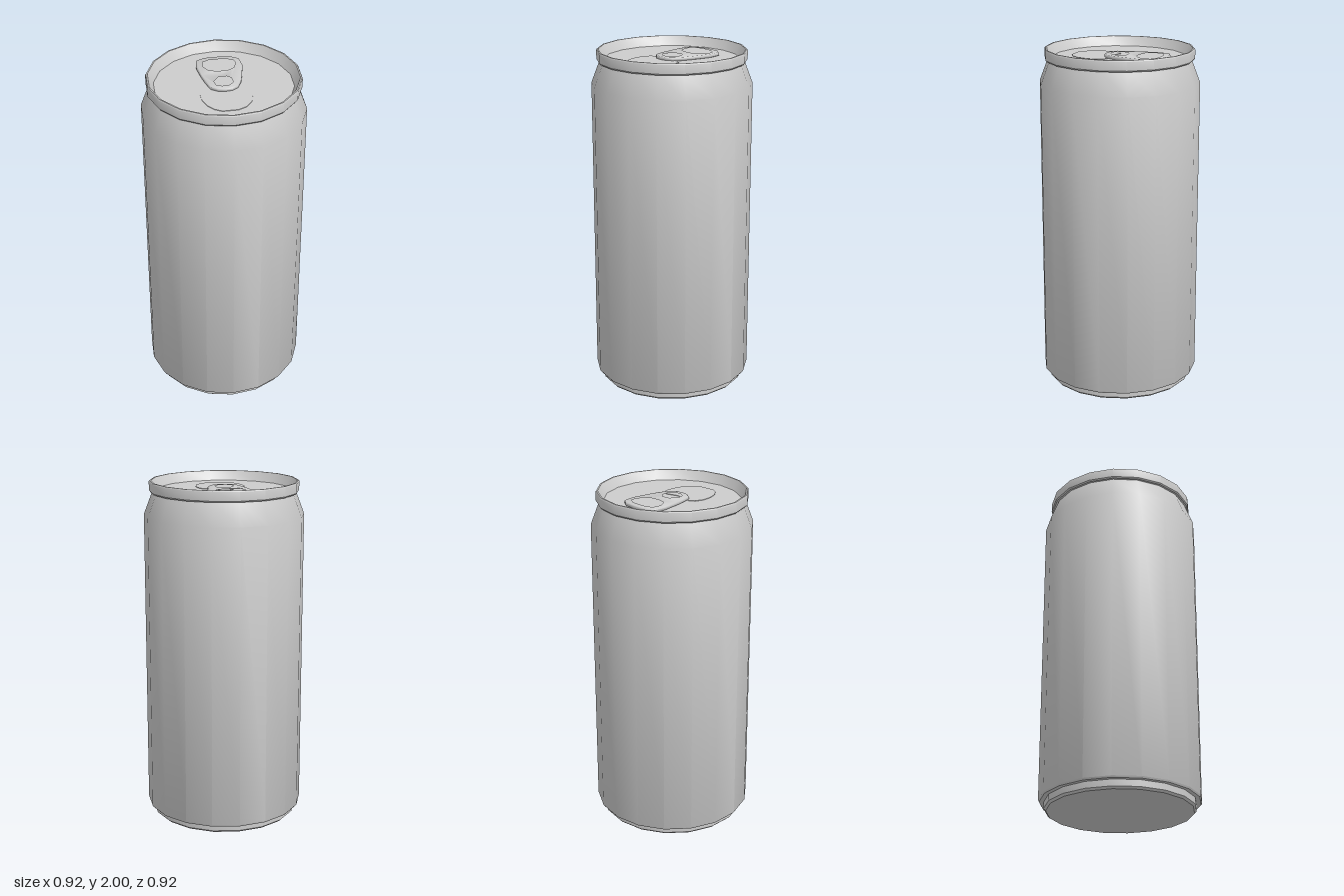
import * as THREE from 'three';
import { toCreasedNormals } from 'three/addons/utils/BufferGeometryUtils.js';

const SIDES = 18;
const PHASE = THREE.MathUtils.degToRad(5);
const LID_Y = 1.945;

export function createModel() {
  const can = new THREE.Group();
  can.name = 'drinkCan';
  const aluminium = new THREE.MeshStandardMaterial({ color: 0xcccccc });
  aluminium.name = 'aluminium';

  const add = (name, geometry) => {
    const mesh = new THREE.Mesh(geometry, aluminium);
    mesh.name = name;
    can.add(mesh);
    return mesh;
  };

  // Turned part from [radius, height] pairs, smooth around but sharp at corners
  const turned = (name, profile) => {
    const points = profile.map(([r, y]) => new THREE.Vector2(r, y));
    const lathe = new THREE.LatheGeometry(points, SIDES, PHASE);
    return add(name, toCreasedNormals(lathe, 0.6));
  };

  // Closed [x, z] outline as seen from above
  const outline = (pts) => pts.map(([x, z]) => new THREE.Vector2(x, -z));

  // Flat plate lying on the lid, with a small bevel inside its outline
  const plate = (name, pts, holes, y, height, bevel) => {
    const shape = new THREE.Shape(outline(pts));
    holes.forEach((h) => shape.holes.push(new THREE.Path(outline(h))));
    const geometry = new THREE.ExtrudeGeometry(shape, {
      depth: height - bevel * 2,
      bevelEnabled: bevel > 0,
      bevelThickness: bevel,
      bevelSize: bevel,
      bevelOffset: -bevel,
      bevelSegments: 1,
    });
    geometry.translate(0, 0, bevel);
    geometry.rotateX(-Math.PI / 2);
    const mesh = add(name, toCreasedNormals(geometry, 0.9));
    mesh.position.y = y;
    return mesh;
  };

  // Base, wall with tapered neck, rolled rim and sunken lid
  turned('base', [[0, 0], [0.418, 0], [0.43, 0.012], [0.43, 0.052]]);
  turned('body', [[0.425, 0.05], [0.456, 0.05], [0.462, 0.06], [0.462, 1.805], [0.412, 1.937]]);
  turned('rim', [
    [0.405, 1.935], [0.425, 1.935], [0.431, 1.943], [0.431, 1.993],
    [0.427, 2], [0.419, 2], [0.388, LID_Y],
  ]);
  turned('lid', [[0.388, LID_Y], [0, LID_Y]]);

  // Scored opening panel
  plate('openingPanel', [
    [-0.10, 0.01], [-0.135, 0.02], [-0.165, 0.065], [-0.175, 0.12], [-0.17, 0.18],
    [-0.15, 0.23], [-0.115, 0.265], [-0.03, 0.283], [0.02, 0.27], [0.07, 0.23],
    [0.10, 0.17], [0.11, 0.12], [0.105, 0.08], [0.075, 0.058], [0, 0.06], [-0.085, 0.02],
  ], [], LID_Y, 0.003, 0);

  // Pull tab with finger hole and rivet hole
  const fingerHole = [
    [-0.03, -0.25], [0.01, -0.26], [0.065, -0.25], [0.12, -0.23], [0.148, -0.2], [0.145, -0.17],
    [0.115, -0.12], [0.07, -0.105], [0.02, -0.113], [-0.035, -0.14], [-0.05, -0.2],
  ];
  const rivetHole = [
    [-0.012, -0.06], [0.04, -0.05], [0.058, -0.02], [0.05, 0.03],
    [0.01, 0.055], [-0.03, 0.047], [-0.058, 0.022], [-0.055, -0.02],
  ];
  plate('pullTab', [
    [-0.055, -0.28], [0, -0.293], [0.07, -0.28], [0.145, -0.255], [0.18, -0.215], [0.17, -0.14],
    [0.135, -0.06], [0.095, 0.02], [0.055, 0.07], [0.02, 0.085], [-0.025, 0.08], [-0.06, 0.065],
    [-0.09, 0.03], [-0.093, -0.04], [-0.09, -0.11], [-0.08, -0.21],
  ], [fingerHole, rivetHole], LID_Y, 0.02, 0.004);

  return can;
}
